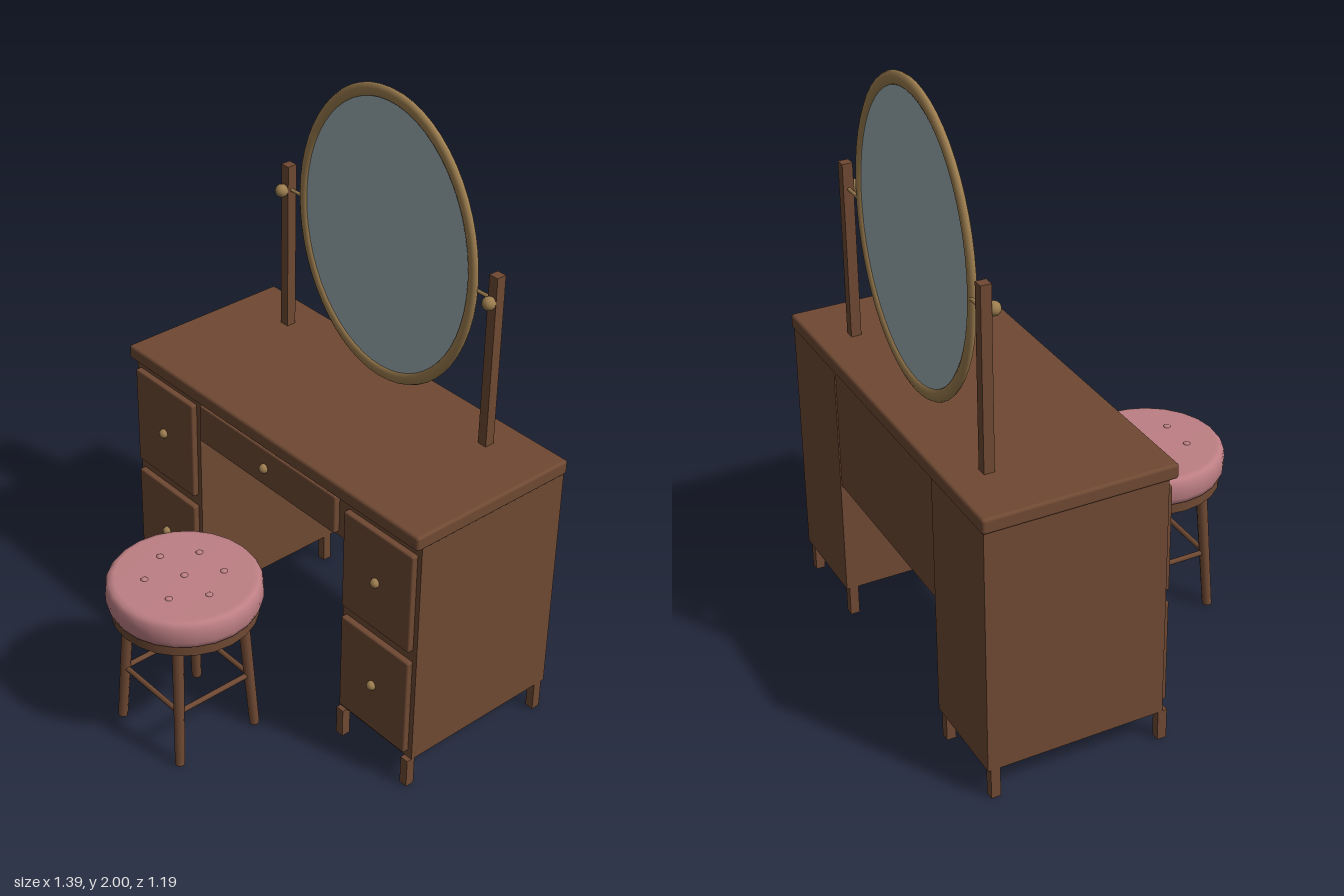
import * as THREE from 'three';
import { RoundedBoxGeometry } from 'three/addons/geometries/RoundedBoxGeometry.js';

const material = (name, color) => {
  const m = new THREE.MeshStandardMaterial({ color });
  m.name = name;
  return m;
};

export function createModel() {
  const wood = material('walnut wood', 0x6f4933);
  const brass = material('aged brass', 0x9c7d4f);
  const glass = material('mirror glass', 0x9dadb3);
  const fabric = material('rose fabric', 0xbd7f84);

  const model = new THREE.Group();
  model.name = 'vanityAndStool';

  const add = (parent, name, geometry, mat, x = 0, y = 0, z = 0) => {
    const mesh = new THREE.Mesh(geometry, mat);
    mesh.name = name;
    mesh.position.set(x, y, z);
    parent.add(mesh);
    return mesh;
  };
  const group = (name) => {
    const g = new THREE.Group();
    g.name = name;
    model.add(g);
    return g;
  };
  // box given by its limits on each axis, with an optional rounded edge
  const box = (parent, name, [x0, x1], [y0, y1], [z0, z1], r = 0) => {
    const size = [x1 - x0, y1 - y0, z1 - z0];
    const geo = r ? new RoundedBoxGeometry(...size, 2, r) : new THREE.BoxGeometry(...size);
    return add(parent, name, geo, wood, (x0 + x1) / 2, (y0 + y1) / 2, (z0 + z1) / 2);
  };
  // round bar between two points
  const bar = (parent, name, a, b, rTop, rBottom, mat, sides = 10) => {
    const dir = new THREE.Vector3().subVectors(b, a);
    const mesh = add(parent, name, new THREE.CylinderGeometry(rTop, rBottom, dir.length(), sides), mat);
    mesh.position.addVectors(a, b).multiplyScalar(0.5);
    mesh.quaternion.setFromUnitVectors(new THREE.Vector3(0, 1, 0), dir.normalize());
    return mesh;
  };
  const knob = (parent, x, y, z, r) =>
    add(parent, 'knob', new THREE.SphereGeometry(r, 14, 10), brass, x, y, z);

  // Desk: top, centre drawer case and modesty panel
  const desk = group('desk');
  box(desk, 'deskTop', [-0.697, 0.697], [0.93, 0.98], [-0.597, 0.028], 0.01);
  box(desk, 'centreCase', [-0.355, 0.355], [0.77, 0.93], [-0.565, 0]);
  box(desk, 'backPanel', [-0.355, 0.355], [0.51, 0.93], [-0.587, -0.565]);
  box(desk, 'centreDrawer', [-0.33, 0.33], [0.785, 0.922], [-0.002, 0.022], 0.006);
  knob(desk, 0, 0.853, 0.026, 0.016);

  // Pedestals with two drawers and four short legs each
  for (const s of [-1, 1]) {
    const cx = s * 0.522;
    const span = (half) => [cx - half, cx + half];
    box(desk, 'pedestal', span(0.167), [0.105, 0.93], [-0.591, 0]);
    for (const [y0, y1] of [[0.132, 0.492], [0.535, 0.895]]) {
      box(desk, 'drawerFront', span(0.151), [y0, y1], [-0.002, 0.022], 0.006);
      knob(desk, cx, (y0 + y1) / 2, 0.026, 0.016);
    }
    for (const dx of [-0.151, 0.151]) {
      for (const z of [0.002, -0.565]) {
        box(desk, 'deskLeg', [cx + dx - 0.015, cx + dx + 0.015], [0, 0.105], [z - 0.016, z + 0.015]);
      }
    }
  }

  // Oval mirror hung between two posts
  const mirror = group('mirror');
  const mz = -0.461;
  const frame = add(mirror, 'mirrorFrame', new THREE.TorusGeometry(1, 0.046, 10, 56), brass, 0, 1.5, mz);
  frame.scale.set(0.382, 0.478, 0.29);
  const pane = add(mirror, 'mirrorGlass', new THREE.CylinderGeometry(1, 1, 0.008, 56), glass, 0, 1.5, mz);
  pane.geometry.rotateX(Math.PI / 2);
  pane.scale.set(0.372, 0.468, 1);
  for (const s of [-1, 1]) {
    box(mirror, 'mirrorPost', [s * 0.47 - 0.017, s * 0.47 + 0.017], [0.975, 1.57], [-0.487, -0.453]);
    bar(mirror, 'pivotRod', new THREE.Vector3(s * 0.385, 1.485, -0.468),
      new THREE.Vector3(s * 0.47, 1.485, -0.468), 0.006, 0.006, brass);
    knob(mirror, s * 0.47, 1.485, -0.44, 0.022);
  }

  // Stool: wooden seat base, padded cushion and tufting buttons
  const stool = group('stool');
  stool.position.z = 0.347;
  add(stool, 'seatBase', new THREE.CylinderGeometry(0.235, 0.235, 0.035, 24), wood, 0, 0.48, 0);
  const profile = [[0, 0.49], [0.225, 0.49], [0.24, 0.5], [0.248, 0.52], [0.249, 0.55],
    [0.246, 0.575], [0.236, 0.588], [0.22, 0.592], [0, 0.592]].map(([r, y]) => new THREE.Vector2(r, y));
  add(stool, 'cushion', new THREE.LatheGeometry(profile, 24), fabric);
  const button = (x, z) => {
    const b = add(stool, 'tuftButton', new THREE.SphereGeometry(0.012, 10, 8), fabric, x, 0.592, z);
    b.scale.y = 0.5;
  };
  button(0, 0);
  for (let i = 0; i < 6; i++) {
    const a = (i * Math.PI) / 3;
    button(0.125 * Math.cos(a), 0.125 * Math.sin(a));
  }

  // Splayed legs joined by a square of stretchers
  const corners = [[1, 1], [1, -1], [-1, -1], [-1, 1]];
  corners.forEach(([sx, sz], i) => {
    const at = (d, y) => new THREE.Vector3(sx * d, y, sz * d);
    bar(stool, 'stoolLeg', at(0.153, 0.002), at(0.127, 0.47), 0.019, 0.016, wood);
    const [nx, nz] = corners[(i + 1) % 4];
    bar(stool, 'stretcher', at(0.142, 0.205), new THREE.Vector3(nx * 0.142, 0.205, nz * 0.142), 0.009, 0.009, wood, 8);
  });

  return model;
}
